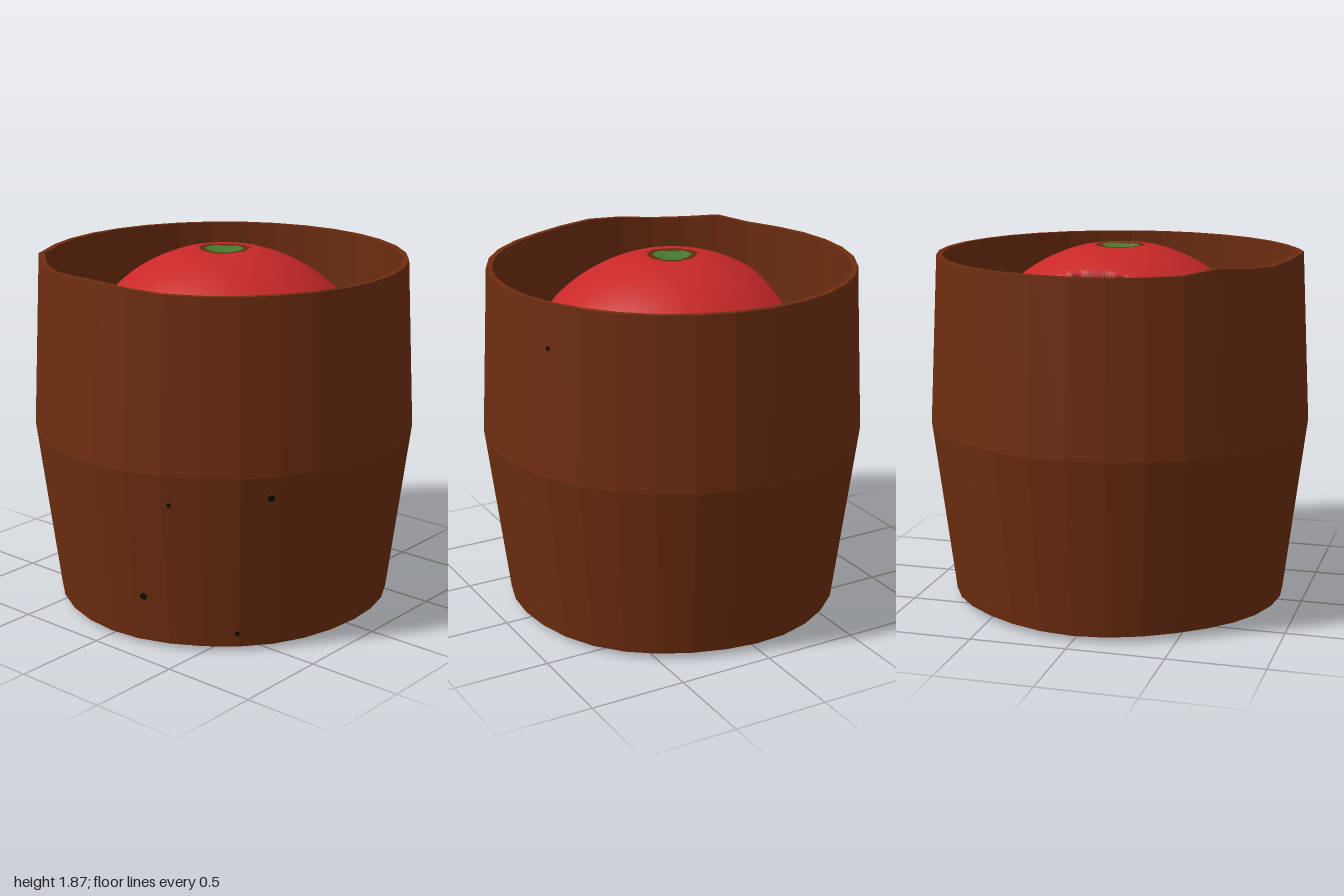
import * as THREE from 'three';
import { mergeVertices } from 'three/addons/utils/BufferGeometryUtils.js';

const mat = (name, color, side = THREE.FrontSide) => {
  const m = new THREE.MeshStandardMaterial({ color, side });
  m.name = name;
  return m;
};

const wood = mat('brown wood', 0x6e2d10);
const red = mat('red skin', 0xc82828);
const rot = mat('brown rot', 0x64290f);
const green = mat('green stem', 0x467a30);
const black = mat('black hole', 0x0c0c0c, THREE.DoubleSide);

// Open tube with a bulging, faceted wall and slightly uneven rims
function makeBarrel() {
  const profile = [
    [0.885, 0.03], [1, 0.95], [0.955, 1.83],
    [0.925, 1.83], [0.965, 0.95], [0.85, 0.03], [0.885, 0.03],
  ].map(([r, y]) => new THREE.Vector2(r, y));
  const geo = new THREE.LatheGeometry(profile, 32);
  const p = geo.attributes.position;
  for (let i = 0; i < p.count; i++) {
    const y = p.getY(i);
    const a = Math.atan2(p.getX(i), p.getZ(i));
    const bump = (c, w) => Math.exp(-(((a - c) / w) ** 2));
    if (y > 1.8) p.setY(i, y + 0.025 * bump(-0.05, 0.28) + 0.03 * bump(-0.75, 0.15));
    if (y < 0.1) p.setY(i, y - 0.015 * bump(0.2, 0.4) + 0.005 * Math.sin(a * 5));
  }
  const flat = geo.toNonIndexed();
  flat.computeVertexNormals();
  const mesh = new THREE.Mesh(flat, wood);
  mesh.name = 'barrel';
  return mesh;
}

// Small dark holes in the barrel wall: angle from the front, height, radius
function makeHoles() {
  const group = new THREE.Group();
  group.name = 'wormHoles';
  for (const [a, y, r] of [[0.43, 0.8, 0.012], [0.94, 0.84, 0.019], [0.25, 0.27, 0.02], [0.78, 0.1, 0.013], [1.97, 1.61, 0.013]]) {
    const step = Math.PI / 16;
    const facet = (Math.floor(a / step) + 0.5) * step;
    const wall = y < 0.95 ? 0.885 + 0.115 * (y - 0.03) / 0.92 : 1 - 0.045 * (y - 0.95) / 0.88;
    const d = wall * Math.cos(step / 2) / Math.cos(a - facet) + 0.003;
    const hole = new THREE.Mesh(new THREE.CircleGeometry(r, 8), black);
    hole.name = 'wormHole';
    hole.position.set(Math.sin(a) * d, y, Math.cos(a) * d);
    hole.rotation.order = 'YXZ';
    hole.rotation.set(y < 0.95 ? 0.124 : -0.05, facet, 0);
    group.add(hole);
  }
  return group;
}

const MID = 0.94;
// Large bite on the upper side, below 1 inside
const bite = (x, y, z) => ((x + 1.05) / 0.65) ** 2 + ((y - 1.6) / 0.6) ** 2 + (z / 1.2) ** 2;
// Curved rotten groove along the front, below 1 inside
function groove(x, y, z) {
  if (y < MID) return 9;
  const t = (Math.atan2(x, z) - 0.38) / 1.08;
  if (Math.abs(t) >= 1) return 9;
  const r = Math.hypot(x, z);
  return Math.abs(r - 0.67 - 0.12 * t * t) / (0.085 * Math.sqrt(1 - t * t));
}
// Elliptical patches seen from above: x, z, half width, half depth
const inPatch = (list, x, z) => list.some(([cx, cz, a, b]) => ((x - cx) / a) ** 2 + ((z - cz) / b) ** 2 < 1);
const blackPatches = [
  [-0.53, -0.46, 0.095, 0.06], [-0.65, -0.36, 0.03, 0.07], [-0.62, 0.14, 0.035, 0.27],
  [-0.76, 0.37, 0.04, 0.11], [0.14, 0.68, 0.05, 0.022], [0.38, 0.56, 0.025, 0.03], [0.3, 0.61, 0.018, 0.018],
];
const rotPatches = [[-0.28, -0.79, 0.14, 0.03], [-0.45, -0.7, 0.07, 0.1]];

// Bitten fruit: an ellipsoid with carved regions, faces sorted by colour
function makeFruit() {
  let geo = new THREE.SphereGeometry(1, 160, 110);
  geo.deleteAttribute('uv');
  geo.deleteAttribute('normal');
  geo = mergeVertices(geo, 1e-4);
  const p = geo.attributes.position;
  const v = new THREE.Vector3();
  for (let i = 0; i < p.count; i++) {
    v.fromBufferAttribute(p, i);
    const r = Math.hypot(v.x, v.z) * 0.89;
    v.x *= 0.89;
    v.z *= 0.89;
    // Dimple above, small point below
    if (v.y > 0) v.y = v.y * 0.945 - 0.035 * Math.exp(-((r / 0.1) ** 2));
    else v.y = v.y * 0.915 - 0.025 * Math.exp(-((r / 0.05) ** 2));
    // Pull the surface inwards until it leaves the bite
    const inside = (s) => bite(v.x * s, v.y * s + MID, v.z * s) < 1;
    if (inside(1)) {
      let lo = 0.3, hi = 1;
      for (let k = 0; k < 20; k++) {
        const m = (lo + hi) / 2;
        if (inside(m)) hi = m; else lo = m;
      }
      v.multiplyScalar(lo);
    }
    const g = groove(v.x, v.y + MID, v.z);
    if (g < 1) v.multiplyScalar(1 - 0.04 * (1 - g * g));
    p.setXYZ(i, v.x, v.y + MID, v.z);
  }
  geo.computeVertexNormals();

  const lists = [[], [], [], []];
  const index = geo.index.array;
  const c = new THREE.Vector3();
  for (let i = 0; i < index.length; i += 3) {
    c.set(0, 0, 0);
    for (let k = 0; k < 3; k++) c.add(v.fromBufferAttribute(p, index[i + k]));
    c.divideScalar(3);
    const r = Math.hypot(c.x, c.z);
    const wobble = 1 + 0.08 * Math.sin(3 * Math.atan2(c.x, c.z));
    let k = 0;
    if (c.y > MID) {
      if (r < 0.095 * wobble) k = 2;
      else if (r < 0.13 * wobble) k = 1;
      else if (inPatch(blackPatches, c.x, c.z)) k = 3;
      else if (bite(c.x, c.y, c.z) < 1.02 || groove(c.x, c.y, c.z) < 1 || inPatch(rotPatches, c.x, c.z)) k = 1;
    }
    lists[k].push(index[i], index[i + 1], index[i + 2]);
  }
  geo.setIndex(lists.flat());
  let start = 0;
  lists.forEach((list, k) => {
    geo.addGroup(start, list.length, k);
    start += list.length;
  });
  const mesh = new THREE.Mesh(geo, [red, rot, green, black]);
  mesh.name = 'fruit';
  return mesh;
}

export function createModel() {
  const model = new THREE.Group();
  model.name = 'fruitInBarrel';
  model.add(makeBarrel(), makeHoles(), makeFruit());
  return model;
}
